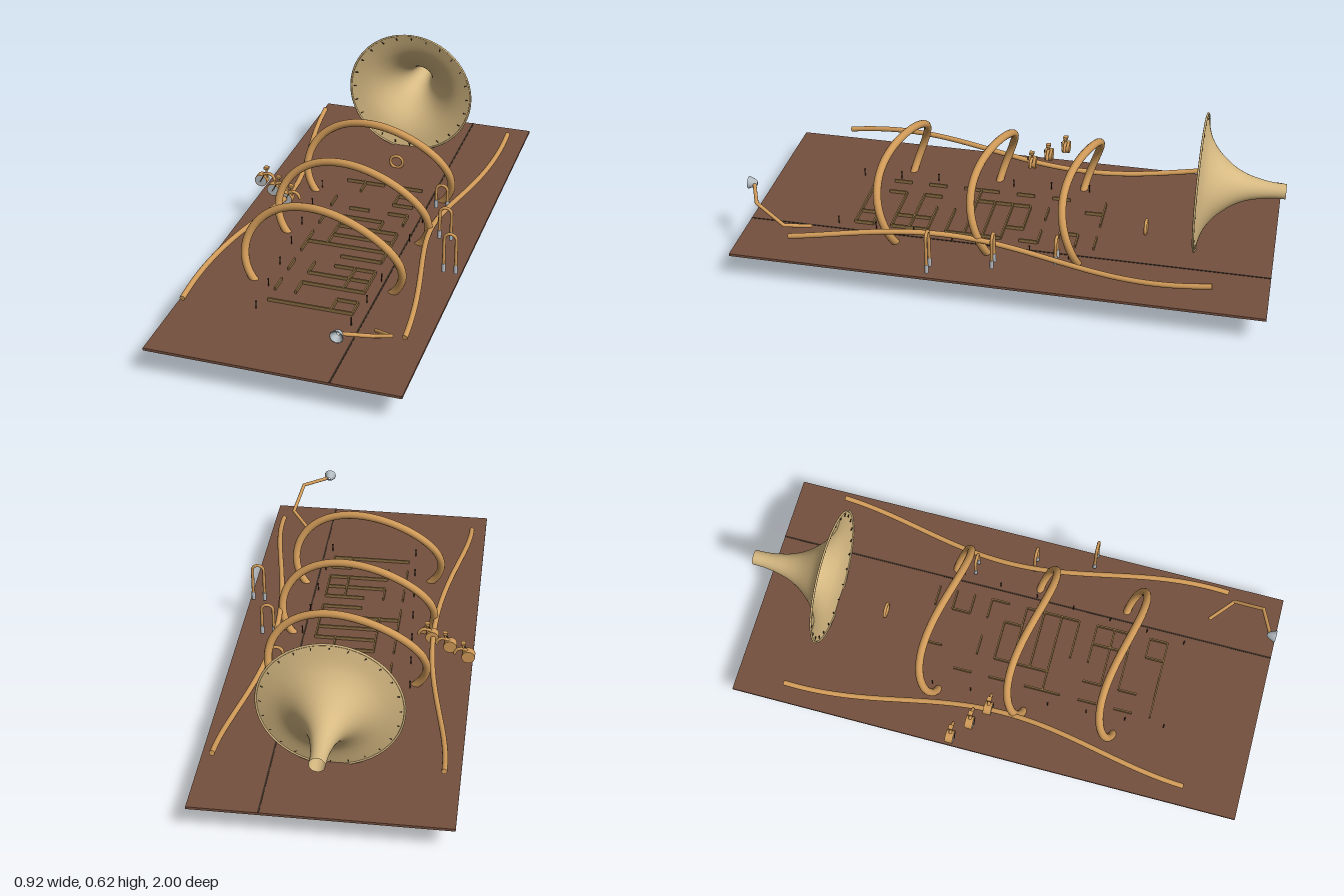
import * as THREE from 'three';

const mat = (name, color, side = THREE.FrontSide) => {
  const m = new THREE.MeshStandardMaterial({ color, side });
  m.name = name;
  return m;
};

export function createModel() {
  const model = new THREE.Group();
  model.name = 'brassContraption';
  const wood = mat('brown wood', 0x75503e);
  const copper = mat('orange brass', 0xd09a58);
  const bellBrass = mat('pale brass', 0xd6b982, THREE.DoubleSide);
  const steel = mat('steel', 0xb4bcc2, THREE.DoubleSide);
  const dark = mat('dark metal', 0x352a20);
  const mazeBrass = mat('old brass', 0x8a6d42);

  const add = (name, geo, material, x = 0, y = 0, z = 0, parent = model) => {
    const m = new THREE.Mesh(geo, material);
    m.name = name;
    m.position.set(x, y, z);
    parent.add(m);
    return m;
  };
  const box = (name, w, h, d, material, x, y, z, parent) =>
    add(name, new THREE.BoxGeometry(w, h, d), material, x, y, z, parent);
  const V = (x, y, z) => new THREE.Vector3(x, y, z);
  // Tube that follows a function of t in 0..1
  class FnCurve extends THREE.Curve {
    constructor(fn) { super(); this.fn = fn; }
    getPoint(t, target = new THREE.Vector3()) { return target.copy(this.fn(t)); }
  }
  const tube = (name, fn, r, segs, closed = false, parent = model) => {
    const curve = new FnCurve(fn);
    const mesh = add(name, new THREE.TubeGeometry(curve, segs, r, 12, closed), copper, 0, 0, 0, parent);
    if (!closed) {
      for (const t of [0, 1]) {
        const cap = add(name + 'End', new THREE.CircleGeometry(r, 12), copper, 0, 0, 0, parent);
        const dir = curve.getTangent(t).multiplyScalar(t ? 1 : -1);
        cap.position.copy(fn(t));
        cap.quaternion.setFromUnitVectors(V(0, 0, 1), dir);
      }
    }
    return mesh;
  };

  // Base board with a narrow inlaid line
  box('board', 0.91, 0.01, 1.98, wood, 0.003, 0.115, 0.01);
  box('inlayLine', 0.006, 0.002, 1.98, dark, 0.21, 0.1205, 0.01);

  // Bell horn
  const horn = new THREE.Group();
  horn.name = 'horn';
  horn.position.set(0.004, 0.367, 0);
  model.add(horn);
  const profile = [[0.028, -1], [0.03, -0.95], [0.038, -0.9], [0.052, -0.85], [0.078, -0.8],
    [0.12, -0.75], [0.16, -0.72], [0.2, -0.703], [0.256, -0.69]];
  const spline = new THREE.SplineCurve(profile.map(p => new THREE.Vector2(...p)));
  const bell = add('bell', new THREE.LatheGeometry(spline.getPoints(40), 64), bellBrass, 0, 0, 0, horn);
  bell.rotation.x = Math.PI / 2;
  add('bellRim', new THREE.TorusGeometry(0.256, 0.004, 8, 64), bellBrass, 0, 0, -0.69, horn);
  for (let i = 0; i < 24; i++) {
    const a = (i / 24) * Math.PI * 2;
    const rivet = box('bellMark', 0.011, 0.004, 0.004, dark, 0.24 * Math.cos(a), 0.24 * Math.sin(a), -0.692, horn);
    rivet.rotation.z = a + 0.3;
  }

  // Twisted oval hoops passing through the board
  for (const z0 of [0.447, 0.094, -0.246]) {
    tube('hoop', t => {
      const a = t * Math.PI * 2;
      return V(0.003 + 0.295 * Math.cos(a), 0.223 + 0.205 * Math.sin(a), z0 + 0.035 * Math.sin(2 * a));
    }, 0.015, 96, true);
  }

  // Long wavy side pipes
  for (const s of [1, -1]) {
    tube('sidePipe', t => {
      const a = (1 - 2 * t) * Math.PI;
      return V(0.003 + s * (0.35 - 0.05 * Math.cos(a)), 0.193 + 0.04 * Math.sin(a), 0.78 * (1 - 2 * t));
    }, 0.01, 80);
  }

  // U-shaped slides with steel feet
  for (const [x, top, z] of [[0.273, 0.24, -0.2], [0.345, 0.272, 0.022], [0.42, 0.3, 0.247]]) {
    const r = 0.0225, yc = top - 0.006 - r;
    const path = new THREE.CurvePath();
    path.add(new THREE.LineCurve3(V(x - r, 0.15, z), V(x - r, yc, z)));
    path.add(new FnCurve(t => V(x - r * Math.cos(t * Math.PI), yc + r * Math.sin(t * Math.PI), z)));
    path.add(new THREE.LineCurve3(V(x + r, yc, z), V(x + r, 0.15, z)));
    add('slide', new THREE.TubeGeometry(path, 48, 0.006, 10), copper);
    for (const s of [-1, 1]) {
      add('slideFoot', new THREE.CylinderGeometry(0.0075, 0.0075, 0.034, 14), steel, x + s * r, 0.151, z);
    }
  }

  // Valves with dials on the right side
  [[-0.417, -0.11], [-0.345, -0.053], [-0.273, 0]].forEach(([x, z]) => {
    const valve = new THREE.Group();
    valve.name = 'valve';
    valve.position.set(x, 0, z);
    model.add(valve);
    const body = add('dialBody', new THREE.CylinderGeometry(0.025, 0.025, 0.03, 28), copper, -0.02, 0.193, 0, valve);
    body.rotation.x = Math.PI / 2;
    add('dialFace', new THREE.CircleGeometry(0.022, 28), steel, -0.02, 0.193, 0.0155, valve);
    const hand = box('dialHand', 0.004, 0.036, 0.003, dark, -0.014, 0.204, 0.0175, valve);
    hand.rotation.z = -0.5;
    add('stem', new THREE.CylinderGeometry(0.004, 0.004, 0.045, 10), copper, 0, 0.225, 0, valve);
    box('valveKey', 0.018, 0.01, 0.018, copper, 0, 0.246, 0, valve);
    tube('valveElbow', t => {
      const a = Math.PI * (1 - t);
      return V(0.006 + 0.026 * Math.cos(a), 0.196 + 0.026 * Math.sin(a), 0);
    }, 0.006, 20, false, valve);
  });

  // Bent mouth pipe and steel cup
  const bends = [[0.29, 0.17, 0.735], [0.365, 0.212, 0.81], [0.337, 0.278, 0.92], [0.24, 0.295, 0.962]].map(p => V(...p));
  bends.slice(1).forEach((b, i) => {
    const a = bends[i], d = b.clone().sub(a), mid = a.clone().add(b).multiplyScalar(0.5);
    const seg = add('mouthPipe', new THREE.CylinderGeometry(0.007, 0.007, d.length(), 12), copper, mid.x, mid.y, mid.z);
    seg.quaternion.setFromUnitVectors(V(0, 1, 0), d.normalize());
    add('mouthPipeJoint', new THREE.SphereGeometry(0.007, 12, 8), copper, a.x, a.y, a.z);
  });
  const cupProfile = [[0.005, 0], [0.009, 0.002], [0.016, 0.014], [0.024, 0.034], [0.02, 0.034], [0.006, 0.012]];
  const cup = add('mouthCup', new THREE.LatheGeometry(cupProfile.map(p => new THREE.Vector2(...p)), 24), steel, 0.232, 0.296, 0.952);
  cup.rotation.x = Math.PI / 2;

  // Small ring standing behind the maze
  add('smallRing', new THREE.TorusGeometry(0.026, 0.006, 10, 32), copper, 0.005, 0.145, -0.495);

  // Low maze walls
  let seed = 7;
  const rnd = () => (seed = (seed * 16807) % 2147483647) / 2147483647;
  for (let row = 0; row < 14; row++) {
    const z = -0.32 + row * 0.0708;
    for (let col = 0; col < 4; col++) {
      const x = -0.15 + col * 0.078;
      if (rnd() < 0.68) box('mazeWall', 0.078, 0.014, 0.006, mazeBrass, x + 0.039, 0.126, z);
      if (row < 13 && rnd() < 0.42) box('mazeWall', 0.006, 0.014, 0.0708, mazeBrass, x + (col > 1 ? 0.078 : 0), 0.126, z + 0.0354);
    }
  }

  // Two slanting rows of headed pins
  for (const s of [1, -1]) {
    for (let i = 0; i < 7; i++) {
      const x = 0.003 + s * (0.175 + i * 0.0098), z = 0.66 - i * 0.15;
      add('pin', new THREE.CylinderGeometry(0.002, 0.002, 0.03, 8), dark, x, 0.135, z);
      add('pinHead', new THREE.CylinderGeometry(0.0035, 0.0035, 0.004, 8), dark, x, 0.15, z);
    }
  }
  return model;
}
